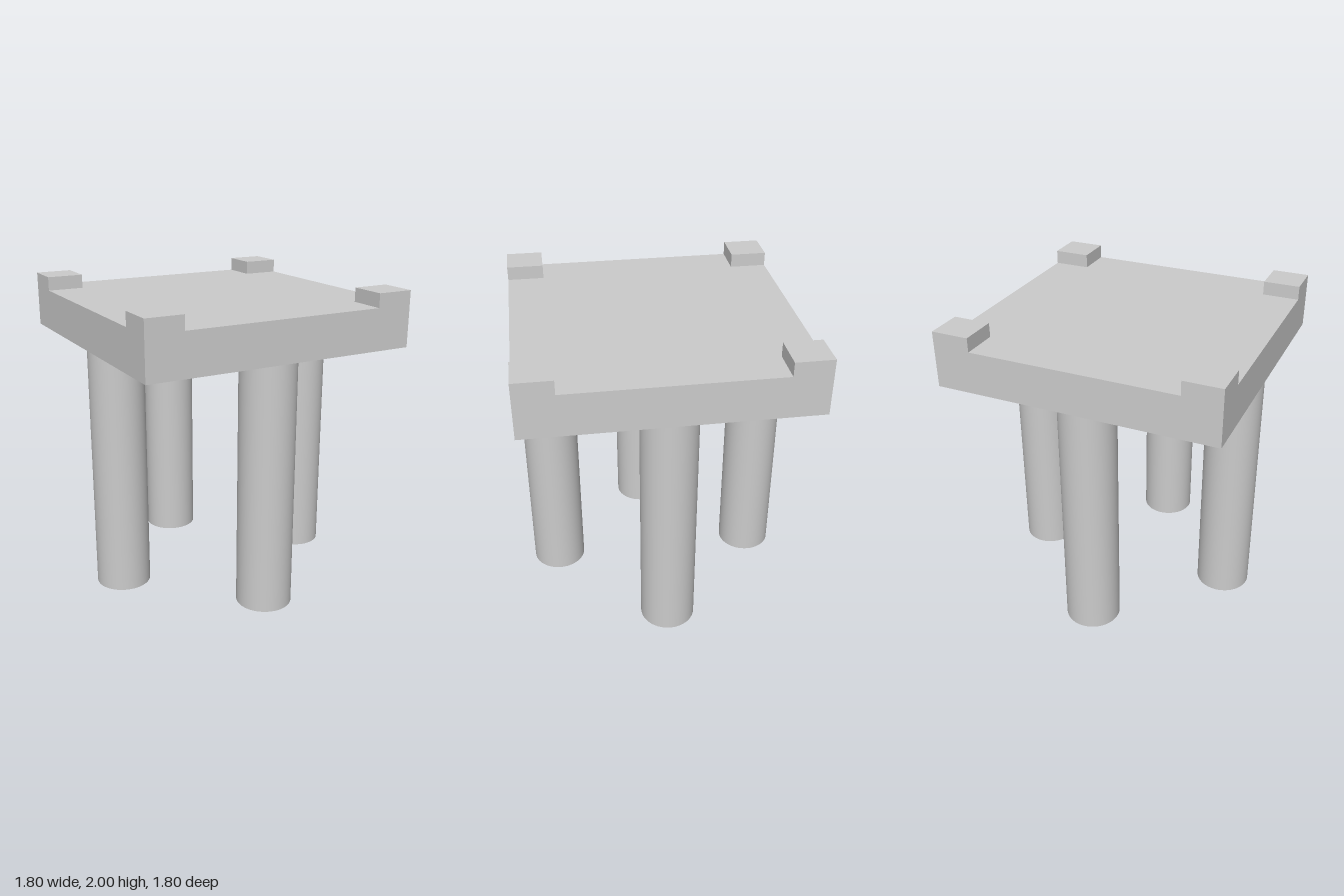
import * as THREE from 'three';

export function createModel() {
  const model = new THREE.Group();
  model.name = 'columnTable';
  const material = new THREE.MeshStandardMaterial({ color: 0xcccccc });

  const add = (name, geometry, x, y, z) => {
    const mesh = new THREE.Mesh(geometry, material);
    mesh.name = name;
    mesh.position.set(x, y, z);
    model.add(mesh);
  };

  const half = 0.9;        // half width of the slab
  const slabBottom = 1.64;
  const slabTop = 1.91;
  const top = 2;
  const block = 0.24;      // side of a corner block

  // Square slab
  const slabHeight = slabTop - slabBottom;
  add('slab', new THREE.BoxGeometry(half * 2, slabHeight, half * 2), 0, slabBottom + slabHeight / 2, 0);

  // Raised blocks, flush with the four corners
  const blockGeometry = new THREE.BoxGeometry(block, top - slabTop, block);
  const corner = half - block / 2;
  for (const sx of [-1, 1]) {
    for (const sz of [-1, 1]) {
      add('cornerBlock', blockGeometry, sx * corner, (slabTop + top) / 2, sz * corner);
    }
  }

  // Round columns under the middle of each side
  const columnGeometry = new THREE.CylinderGeometry(0.18, 0.18, slabBottom, 48);
  const columns = { leftColumn: [0.7, 0], rightColumn: [-0.7, 0], frontColumn: [0, 0.7], backColumn: [0, -0.7] };
  for (const [name, [x, z]] of Object.entries(columns)) {
    add(name, columnGeometry, x, slabBottom / 2, z);
  }

  return model;
}
